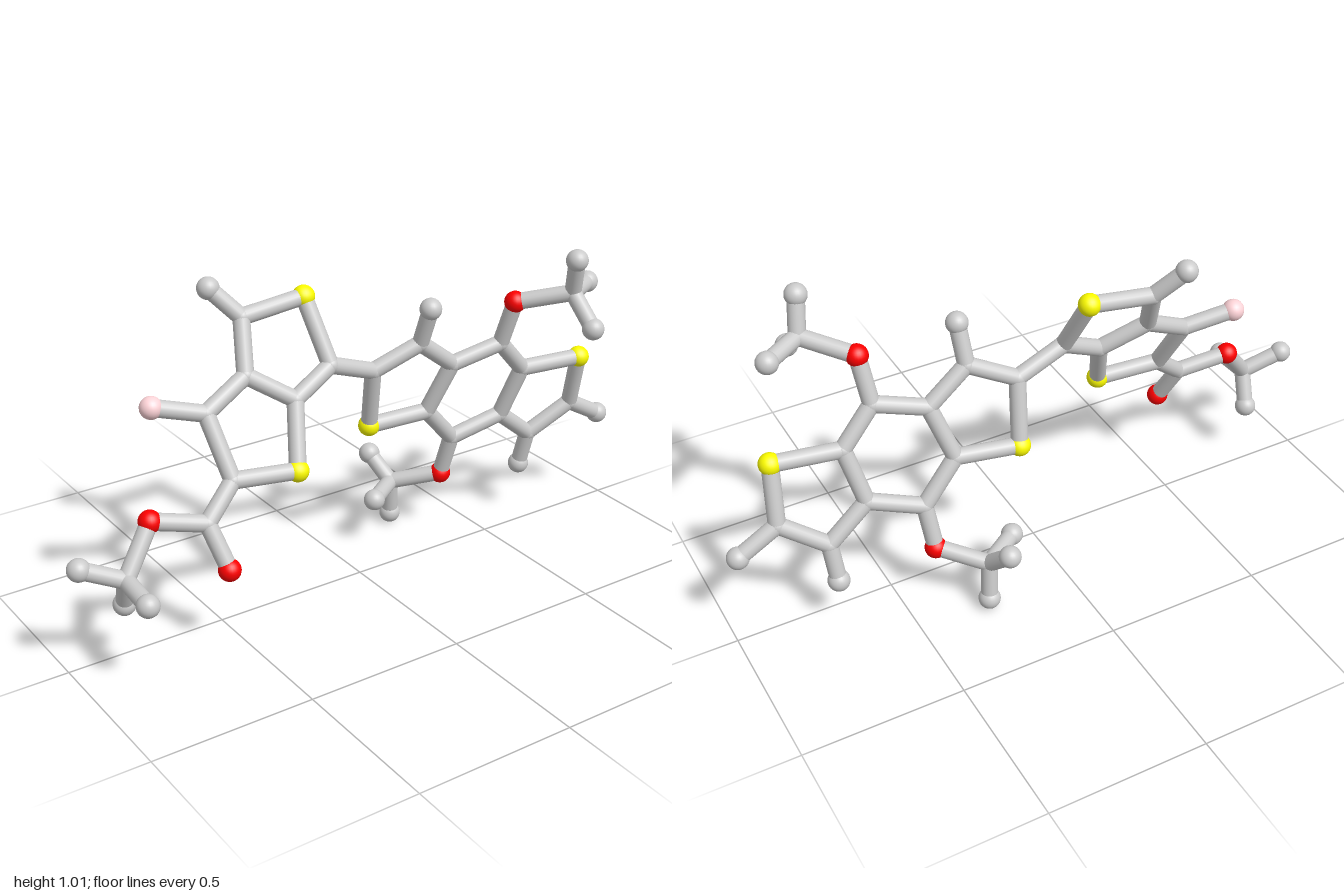
import * as THREE from 'three';

const STICK = 0.026, JOINT = 0.027, BALL = 0.034;

// Each flat ring system lies on a tilted plane: z as a function of x and y
const leftPlane = (x, y) => 0.083 + 0.129 * (x + 0.275) - 0.52 * (y - 0.475);
const rightPlane = (x, y) => -0.01 + 0.15 * (x - 0.505) + 0.278 * (y - 0.51);
const onLeft = (x, y) => [x, y, leftPlane(x, y)];
const onRight = (x, y) => [x, y, rightPlane(x, y)];

// Bare joints, where sticks simply meet
const joints = {
  // left pair of five-sided rings
  a1: onLeft(-0.32, 0.89), a2: onLeft(-0.09, 0.725), a3: onLeft(-0.225, 0.655),
  a4: onLeft(-0.355, 0.74), a5: onLeft(-0.475, 0.485), a6: onLeft(-0.50, 0.665),
  // left side chain
  e1: [-0.58, 0.393, 0.085], e2: [-0.845, 0.297, 0.09],
  // right group of three rings
  b1: onRight(0.07, 0.665), b2: onRight(0.215, 0.735), b3: onRight(0.29, 0.468),
  b4: onRight(0.345, 0.635), b5: onRight(0.505, 0.68), b6: onRight(0.61, 0.565),
  b7: onRight(0.57, 0.395), b8: onRight(0.405, 0.34), b9: onRight(0.835, 0.385),
  b10: onRight(0.70, 0.29),
  // upper and lower branches
  u1: [0.65, 0.865, 0.197], d1: [0.265, 0.162, -0.212],
};

// Larger balls, by colour
const yellowBalls = {
  s1: [-0.115, 0.915, -0.125], s2: [-0.275, 0.473, 0.083],
  s3: [0.092, 0.458, -0.085], s4: [0.818, 0.568, 0.056],
};
const redBalls = {
  o1: [-0.55, 0.263, 0.15], o2: [-0.74, 0.43, 0.045],
  o3: [0.52, 0.827, 0.082], o4: [0.392, 0.20, -0.11],
};
const pinkBalls = { f1: [-0.65, 0.705, -0.088] };
const greyBalls = {
  h1: [-0.397, 0.978, -0.19],
  h2: [-0.968, 0.353, 0.055], h3: [-0.83, 0.19, 0.037], h4: [-0.848, 0.284, 0.226],
  h5: [0.22, 0.858, 0.052], h6: [0.962, 0.313, 0.005], h7: [0.692, 0.168, -0.071],
  h8: [0.63, 0.981, 0.23], h9: [0.768, 0.857, 0.128], h10: [0.652, 0.777, 0.294],
  h11: [0.275, 0.037, -0.228], h12: [0.145, 0.162, -0.13], h13: [0.237, 0.239, -0.293],
};

// Sticks, as chains of connected points
const chains = {
  leftRingStick: ['a4 a1 s1 a2 a3 a4 a6 a5 s2 a3', 'a1 h1', 'a6 f1'],
  sideChainStick: ['a5 e1 o1', 'e1 o2 e2 h2', 'e2 h3', 'e2 h4'],
  linkStick: ['a2 b1'],
  rightRingStick: ['b4 b2 b1 s3 b3 b4 b5 b6 b7 b8 b3', 'b6 s4 b9 b10 b7', 'b2 h5', 'b9 h6', 'b10 h7'],
  upperBranchStick: ['b5 o3 u1 h8', 'u1 h9', 'u1 h10'],
  lowerBranchStick: ['b8 o4 d1 h11', 'd1 h12', 'd1 h13'],
};

export function createModel() {
  const model = new THREE.Group();
  const grey = new THREE.MeshStandardMaterial({ color: 0xcccccc });
  const yellow = new THREE.MeshStandardMaterial({ color: 0xffff00 });
  const red = new THREE.MeshStandardMaterial({ color: 0xff0000 });
  const pink = new THREE.MeshStandardMaterial({ color: 0xffd5d9 });
  const ballGeometry = new THREE.SphereGeometry(BALL, 24, 16);
  const jointGeometry = new THREE.SphereGeometry(JOINT, 24, 16);
  const points = {};

  function addBalls(set, name, geometry, material) {
    const group = new THREE.Group();
    group.name = name + 's';
    for (const key in set) {
      const mesh = new THREE.Mesh(geometry, material);
      mesh.name = name;
      mesh.position.fromArray(set[key]);
      points[key] = mesh.position;
      group.add(mesh);
    }
    model.add(group);
  }

  addBalls(joints, 'joint', jointGeometry, grey);
  addBalls(yellowBalls, 'yellowBall', ballGeometry, yellow);
  addBalls(redBalls, 'redBall', ballGeometry, red);
  addBalls(pinkBalls, 'pinkBall', ballGeometry, pink);
  addBalls(greyBalls, 'endBall', ballGeometry, grey);

  // A round stick between two points
  const up = new THREE.Vector3(0, 1, 0);
  function stick(a, b, name) {
    const along = b.clone().sub(a);
    const geometry = new THREE.CylinderGeometry(STICK, STICK, along.length(), 20, 1, true);
    const mesh = new THREE.Mesh(geometry, grey);
    mesh.name = name;
    mesh.position.copy(a).lerp(b, 0.5);
    mesh.quaternion.setFromUnitVectors(up, along.normalize());
    return mesh;
  }

  for (const name in chains) {
    const group = new THREE.Group();
    group.name = name + 's';
    for (const chain of chains[name]) {
      const keys = chain.split(' ');
      for (let i = 1; i < keys.length; i++) {
        group.add(stick(points[keys[i - 1]], points[keys[i]], name));
      }
    }
    model.add(group);
  }
  return model;
}
